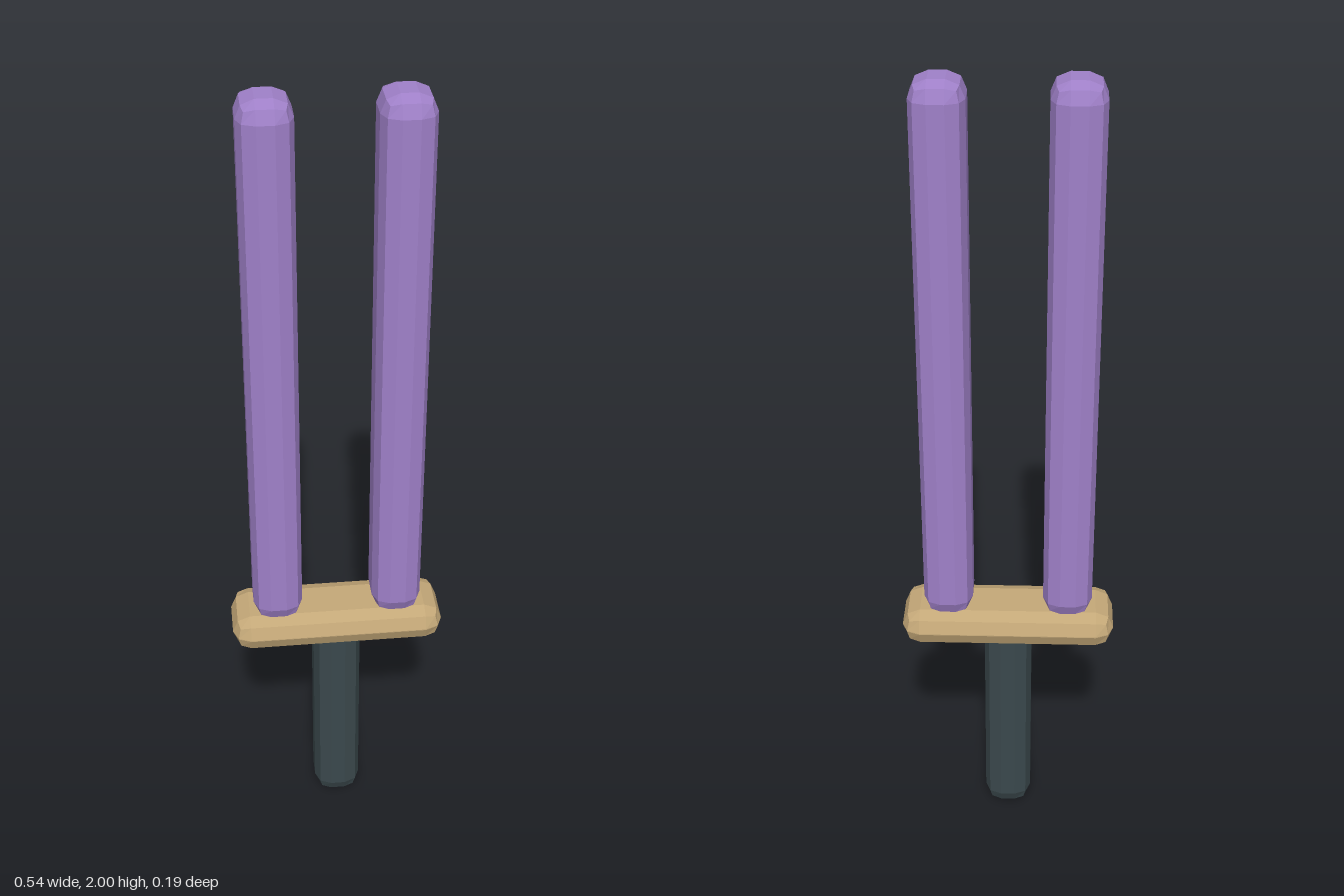
import * as THREE from 'three';
import { RoundedBoxGeometry } from 'three/addons/geometries/RoundedBoxGeometry.js';

// Low-poly bar with one-step rounded edges, placed by its bottom height
function bar(name, color, [w, h, d], radius, x, bottom) {
  const mesh = new THREE.Mesh(
    new RoundedBoxGeometry(w, h, d, 1, radius),
    new THREE.MeshStandardMaterial({ color, flatShading: true })
  );
  mesh.name = name;
  mesh.position.set(x, bottom + h / 2, 0);
  return mesh;
}

export function createModel() {
  const model = new THREE.Group();
  model.name = 'twinBladeSword';

  // Grip, its top end sunk into the guard
  model.add(bar('grip', 0x3a484c, [0.12, 0.6, 0.137], 0.042, 0, 0));

  // Crossguard
  model.add(bar('guard', 0xc4a878, [0.535, 0.092, 0.187], 0.045, 0, 0.554));

  // Pair of parallel blades standing on the guard
  for (const side of [-1, 1]) {
    const name = side > 0 ? 'leftBlade' : 'rightBlade';
    model.add(bar(name, 0x9f80c8, [0.123, 1.362, 0.149], 0.042, side * 0.15, 0.638));
  }
  return model;
}
